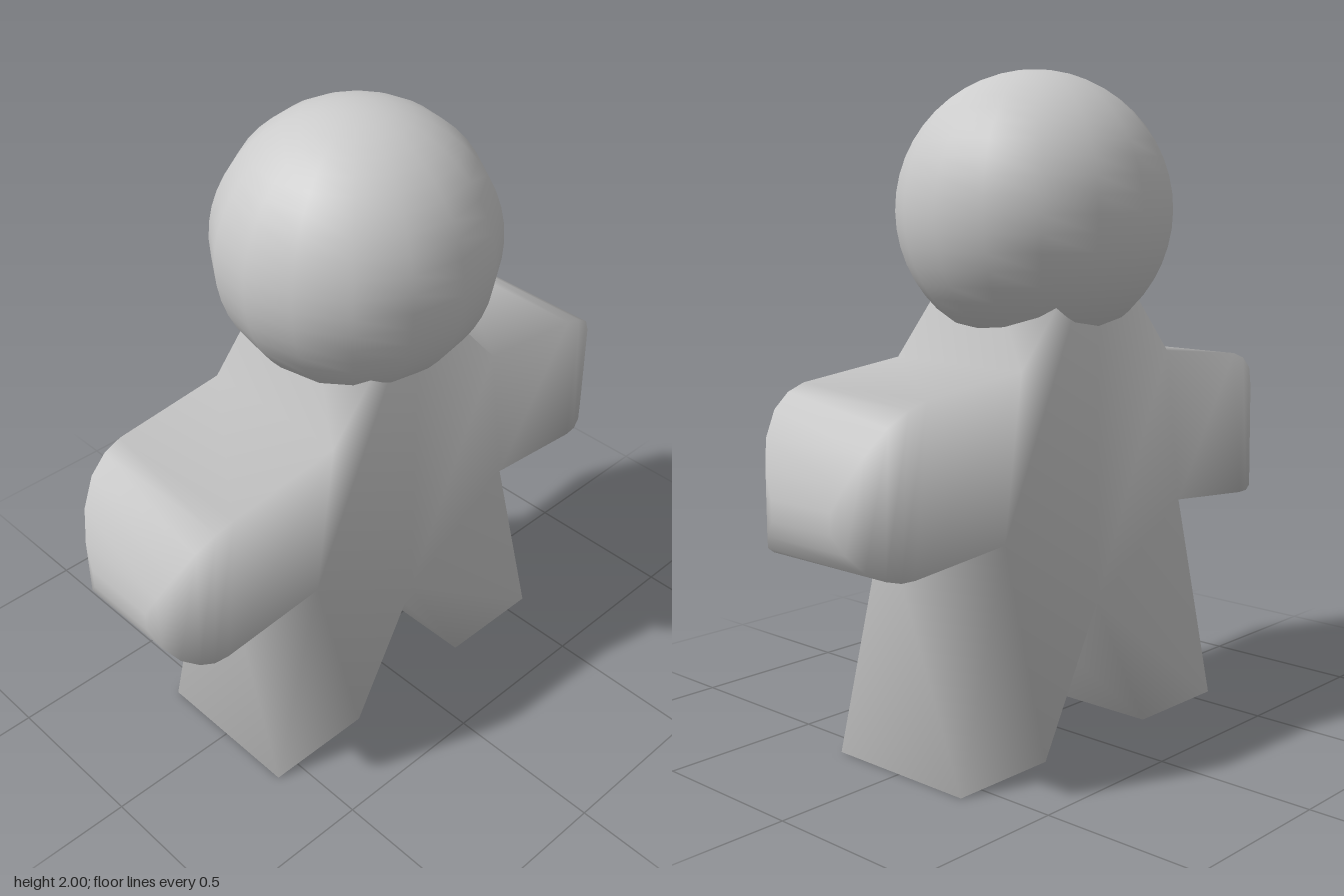
import * as THREE from 'three';
import { mergeVertices } from 'three/addons/utils/BufferGeometryUtils.js';

const DEPTH = 0.25;

// Sections across a limb: [upper x, upper y, lower x, lower y, half depth]
const TORSO_AND_ARM = [
  [0, 1.54, 0, 0.43, DEPTH],
  [0.33, 1.16, 0.4, 0.68, DEPTH],
  [0.69, 1.12, 0.74, 0.65, DEPTH],
  [0.75, 1.10, 0.785, 0.65, 0.245],
  [0.81, 1.06, 0.825, 0.66, 0.23],
  [0.865, 0.99, 0.868, 0.685, 0.2],
  [0.9, 0.91, 0.9, 0.73, 0.16],
  [0.915, 0.84, 0.915, 0.78, 0.12],
];
const LEG = [
  [0.4, 0.68, 0, 0.43, DEPTH],
  [0.58, 0, 0.23, 0, DEPTH],
];

// Skins a row of sections and closes its far end
function addLimb(out, sections, side, openBelowFirst) {
  const quad = (...corners) => {
    const [a, b, c, d] = side > 0 ? corners : corners.reverse();
    for (const p of [a, b, c, a, c, d]) out.push(p[0] * side, p[1], p[2]);
  };
  const rings = sections.map(([ux, uy, lx, ly, z]) => ({
    uf: [ux, uy, z], ub: [ux, uy, -z], lf: [lx, ly, z], lb: [lx, ly, -z],
  }));
  for (let i = 0; i < rings.length - 1; i++) {
    const a = rings[i], b = rings[i + 1];
    quad(a.lf, b.lf, b.uf, a.uf); // front
    quad(b.lb, a.lb, a.ub, b.ub); // back
    quad(a.uf, b.uf, b.ub, a.ub); // upper
    if (i > 0 || !openBelowFirst) quad(a.lb, b.lb, b.lf, a.lf); // lower
  }
  const end = rings[rings.length - 1];
  quad(end.lf, end.lb, end.ub, end.uf);
}

export function createModel() {
  const group = new THREE.Group();
  group.name = 'figure';
  const material = new THREE.MeshStandardMaterial({ color: 0xcccccc });

  // Torso, arms and legs as one smooth skin
  const points = [];
  for (const side of [1, -1]) {
    addLimb(points, TORSO_AND_ARM, side, true);
    addLimb(points, LEG, side, false);
  }
  let skin = new THREE.BufferGeometry();
  skin.setAttribute('position', new THREE.Float32BufferAttribute(points, 3));
  skin = mergeVertices(skin, 1e-4);
  skin.computeVertexNormals();
  const body = new THREE.Mesh(skin, material);
  body.name = 'body';
  group.add(body);

  // Round head resting over the neck
  const head = new THREE.Mesh(new THREE.SphereGeometry(0.412, 16, 24), material);
  head.name = 'head';
  head.scale.x = 1.015;
  head.position.y = 1.588;
  group.add(head);

  return group;
}
